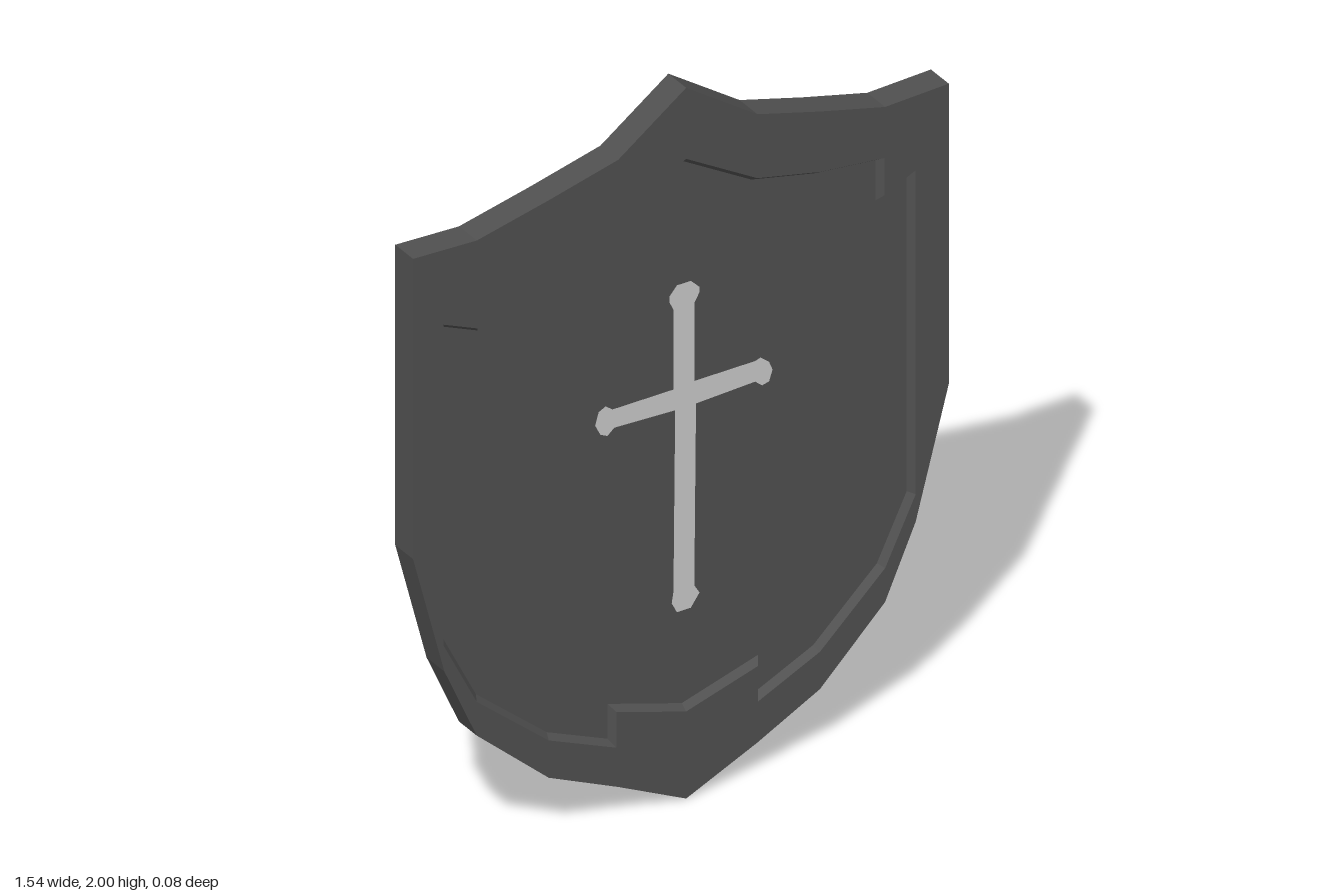
import * as THREE from 'three';
import { mergeGeometries } from 'three/addons/utils/BufferGeometryUtils.js';

const vec = (list) => list.map(([x, y]) => new THREE.Vector2(x, y));

// Outlines run counter-clockwise as seen from the front
const OUTER = vec([
  [0.015, 2], [-0.18, 1.86], [-0.38, 1.81], [-0.587, 1.763], [-0.77, 1.77],
  [-0.77, 0.925], [-0.68, 0.58], [-0.587, 0.37], [-0.38, 0.185], [-0.18, 0.095],
  [0.015, 0], [0.22, 0.092], [0.4, 0.185], [0.587, 0.37], [0.675, 0.568],
  [0.77, 0.925], [0.77, 1.77], [0.587, 1.763], [0.4, 1.81], [0.22, 1.86],
]);
const OPENING = vec([
  [0.015, 1.8], [-0.185, 1.68], [-0.38, 1.64], [-0.585, 1.62], [-0.585, 1.515],
  [-0.683, 1.557], [-0.683, 0.655], [-0.587, 0.465], [-0.38, 0.29], [-0.185, 0.207],
  [-0.185, 0.307], [0.015, 0.245], [0.222, 0.307], [0.222, 0.207], [0.4, 0.29],
  [0.587, 0.465], [0.675, 0.645], [0.675, 1.557], [0.585, 1.515], [0.585, 1.62],
  [0.4, 1.64], [0.22, 1.68],
]);
const CROSS = vec([
  [-0.022, 1.4], [-0.022, 1.415], [0, 1.44], [0.04, 1.44], [0.065, 1.415], [0.065, 1.4],
  [0.05, 1.375], [0.05, 1.155], [0.225, 1.155], [0.24, 1.16], [0.265, 1.14], [0.275, 1.115],
  [0.265, 1.085], [0.245, 1.08], [0.225, 1.097], [0.055, 1.09], [0.05, 0.58], [0.065, 0.555],
  [0.04, 0.52], [0, 0.52], [-0.015, 0.55], [-0.01, 0.58], [-0.005, 1.09], [-0.18, 1.097],
  [-0.2, 1.08], [-0.22, 1.09], [-0.235, 1.12], [-0.225, 1.155], [-0.205, 1.165],
  [-0.185, 1.15], [-0.01, 1.15], [-0.01, 1.375],
]);

const HALF = 0.04; // half thickness of the rim
const INNER = 0.02; // half thickness of the recessed panel

// Moves every edge of a loop inward by d, with mitred corners
function inset(loop, d) {
  return loop.map((p, i) => {
    const a = p.clone().sub(loop.at(i - 1)).normalize();
    const b = loop[(i + 1) % loop.length].clone().sub(p).normalize();
    const m = new THREE.Vector2(-a.y - b.y, a.x + b.x).divideScalar(1 + a.dot(b));
    return p.clone().addScaledVector(m, d);
  });
}

// Flat-sided wall between two matching loops
function wall(lo, zLo, hi, zHi) {
  const pos = [];
  lo.forEach((a, i) => {
    const j = (i + 1) % lo.length;
    const A = [a.x, a.y, zLo], B = [lo[j].x, lo[j].y, zLo];
    const C = [hi[j].x, hi[j].y, zHi], D = [hi[i].x, hi[i].y, zHi];
    pos.push(...A, ...B, ...C, ...A, ...C, ...D);
  });
  const g = new THREE.BufferGeometry();
  g.setAttribute('position', new THREE.Float32BufferAttribute(pos, 3));
  g.computeVertexNormals();
  return g;
}

// Flat face at height z, turned to the front or the back
function face(loop, z, back = false, hole = null) {
  const shape = new THREE.Shape(loop);
  if (hole) shape.holes.push(new THREE.Path(hole));
  let g = new THREE.ShapeGeometry(shape);
  if (back) g.index.array.reverse();
  g = g.toNonIndexed().translate(0, 0, z);
  g.deleteAttribute('uv');
  g.computeVertexNormals();
  return g;
}

export function createModel() {
  const material = (name, color) => {
    const m = new THREE.MeshStandardMaterial({ color });
    m.name = name;
    return m;
  };
  const iron = material('dark iron', 0x505050);
  const wood = material('brown wood', 0x704d36);
  const silver = material('pale silver', 0xcccccc);

  const group = new THREE.Group();
  group.name = 'shield';
  const add = (name, geometry, mat) => {
    const mesh = new THREE.Mesh(geometry, mat);
    mesh.name = name;
    group.add(mesh);
  };

  const panel = inset(OPENING, 0.013);

  // Rim: outer edge, front and back faces, sloping recess walls
  add('rim', mergeGeometries([
    wall(OUTER, -HALF, OUTER, HALF),
    face(OUTER, HALF, false, OPENING),
    face(OUTER, -HALF, true, OPENING),
    wall(OPENING, HALF, panel, INNER),
    wall(panel, -INNER, OPENING, -HALF),
  ]), iron);

  // Recessed panels on both sides
  add('frontPanel', face(panel, INNER), iron);
  add('backPanel', face(panel, -INNER, true), wood);

  // Painted cross
  add('cross', face(CROSS, INNER + 0.002), silver);

  return group;
}
